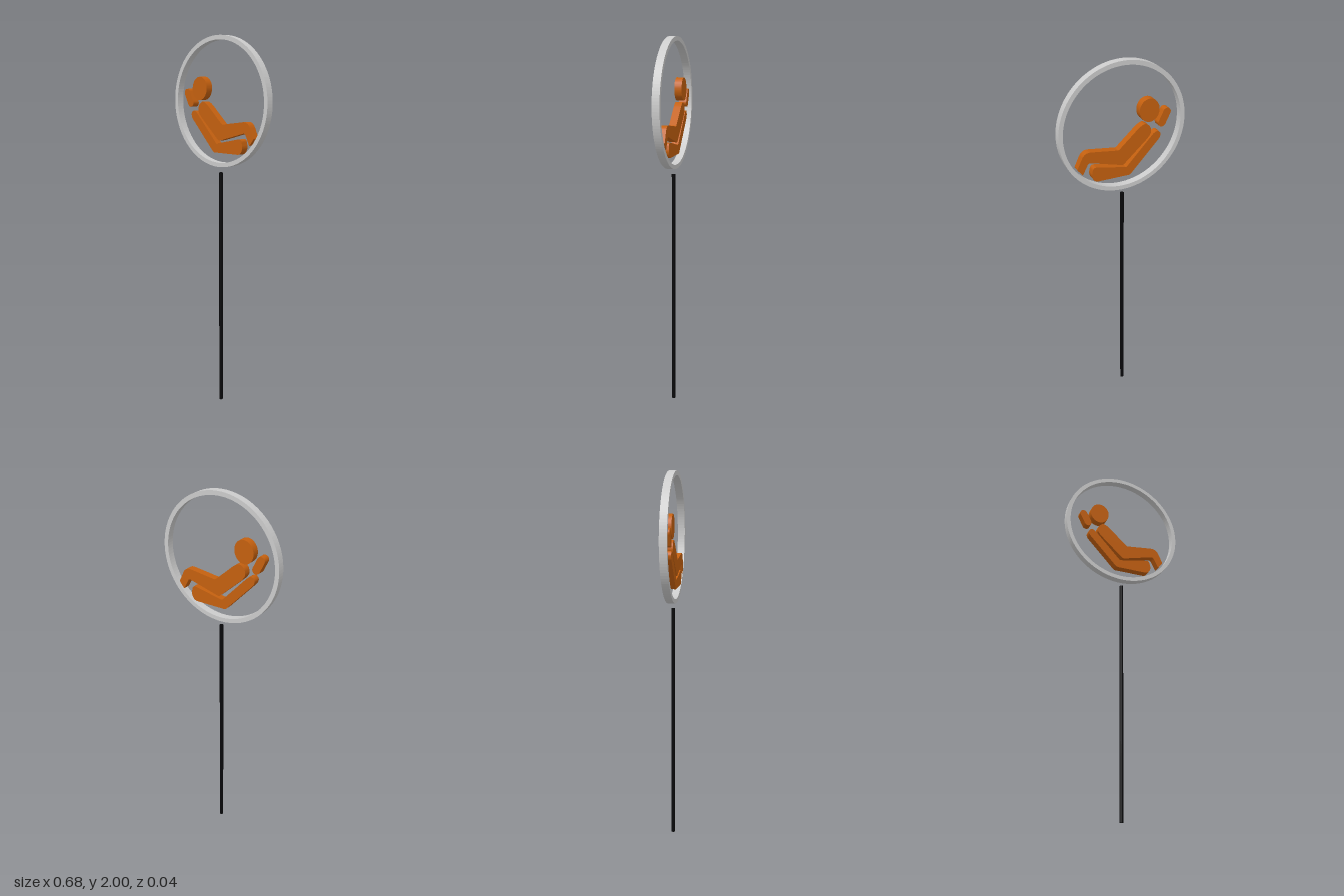
import * as THREE from 'three';

const BACK = -0.02, FRONT = 0.019;
const orange = new THREE.MeshStandardMaterial({ color: 0xc4600f });
const grey = new THREE.MeshStandardMaterial({ color: 0xcccccc, flatShading: true });
const black = new THREE.MeshStandardMaterial({ color: 0x08080a });

// Closed outline whose corners [x, y, r] are rounded by cutting r off each side
function roundedShape(corners) {
  const shape = new THREE.Shape();
  const pts = corners.map(([x, y]) => new THREE.Vector2(x, y));
  const n = pts.length;
  pts.forEach((p, i) => {
    const r = corners[i][2] ?? 0;
    const toward = (q) => p.clone().add(q.clone().sub(p).setLength(r));
    const a = toward(pts[(i + n - 1) % n]);
    const b = toward(pts[(i + 1) % n]);
    if (i === 0) shape.moveTo(a.x, a.y);
    else shape.lineTo(a.x, a.y);
    if (r > 0) shape.quadraticCurveTo(p.x, p.y, b.x, b.y);
  });
  shape.closePath();
  return shape;
}

// Pill outline between two points
function pillShape(x1, y1, x2, y2, r) {
  const t = Math.atan2(y2 - y1, x2 - x1);
  const shape = new THREE.Shape();
  shape.absarc(x2, y2, r, t - Math.PI / 2, t + Math.PI / 2);
  shape.absarc(x1, y1, r, t + Math.PI / 2, t + Math.PI * 1.5);
  shape.closePath();
  return shape;
}

function plate(name, shape, material, curveSegments = 8, front = FRONT) {
  const geometry = new THREE.ExtrudeGeometry(shape, { depth: front - BACK, bevelEnabled: false, curveSegments });
  geometry.translate(0, 0, BACK);
  const mesh = new THREE.Mesh(geometry, material);
  mesh.name = name;
  return mesh;
}

export function createModel() {
  const model = new THREE.Group();
  model.name = 'recliningFigureSign';

  // Pole, ending just below the ring
  const pole = new THREE.Mesh(new THREE.CylinderGeometry(0.01, 0.01, 1.294, 24), black);
  pole.name = 'pole';
  pole.position.y = 0.647;
  model.add(pole);

  // Round frame
  const ring = new THREE.Shape().absarc(0, 1.6625, 0.3375, 0, Math.PI * 2);
  ring.holes.push(new THREE.Path().absarc(0, 1.6625, 0.315, 0, Math.PI * 2, true));
  model.add(plate('ringFrame', ring, grey, 64));

  // Reclining figure
  const figure = new THREE.Group();
  figure.name = 'figure';
  const head = new THREE.Shape().absellipse(-0.141, 1.73, 0.054, 0.061, 0, Math.PI * 2, false, -0.15);
  figure.add(plate('head', head, orange, 32, 0.0195));
  figure.add(plate('headrest', pillShape(-0.237, 1.706, -0.211, 1.653, 0.021), orange, 12, 0.0195));

  const body = roundedShape([
    [0.026, 1.548, 0.008], [-0.088, 1.651, 0.02], [-0.118, 1.666, 0.015], [-0.147, 1.645, 0.015],
    [-0.153, 1.61, 0.015], [-0.132, 1.583, 0.008], [0.002, 1.462, 0.01], [0.188, 1.513, 0.012],
    [0.22, 1.45, 0.004], [0.248, 1.486, 0.004], [0.208, 1.572, 0.035],
  ]);
  figure.add(plate('bodyAndLegs', body, orange, 8, 0.0195));

  // Reclined seat below the figure
  const seat = roundedShape([
    [-0.016, 1.447, 0.006], [-0.167, 1.606, 0.012], [-0.19, 1.616, 0.012], [-0.207, 1.596, 0.012],
    [-0.2, 1.573, 0.01], [-0.037, 1.4, 0.01], [0.157, 1.4, 0.022], [0.173, 1.435, 0.015],
    [0.163, 1.483, 0.02],
  ]);
  figure.add(plate('seat', seat, orange, 8, 0.0195));
  model.add(figure);

  return model;
}
